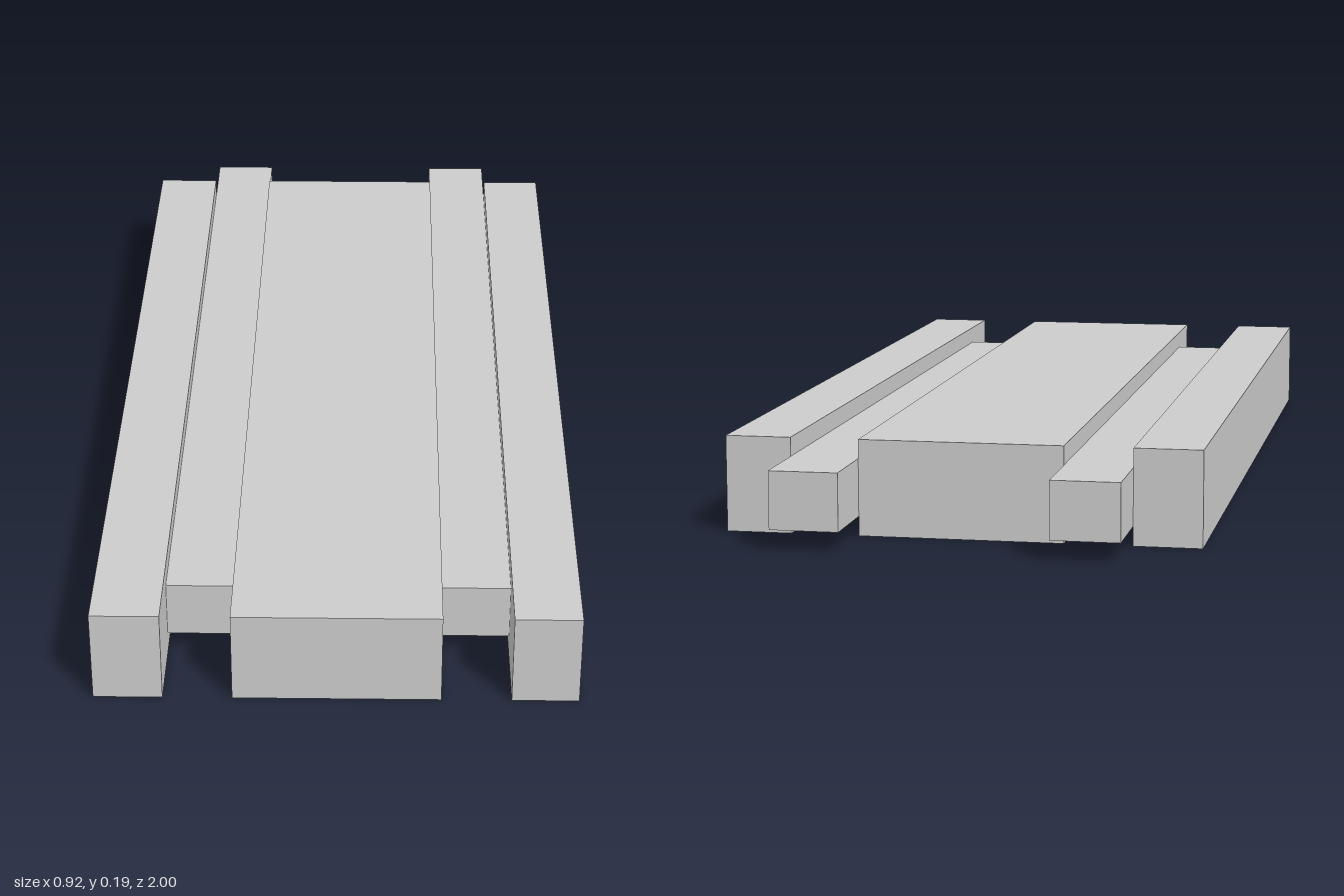
import * as THREE from 'three';

export function createModel() {
  const group = new THREE.Group();
  group.name = 'slottedPlank';
  const material = new THREE.MeshStandardMaterial({ color: 0xcccccc, flatShading: true });

  // Box given by its extents on each axis
  function bar(name, [x0, x1], [y0, y1], [z0, z1]) {
    const mesh = new THREE.Mesh(new THREE.BoxGeometry(x1 - x0, y1 - y0, z1 - z0), material);
    mesh.position.set((x0 + x1) / 2, (y0 + y1) / 2, (z0 + z1) / 2);
    mesh.name = name;
    group.add(mesh);
  }

  const fullHeight = [0, 0.187];
  const tongueHeight = [0.038, 0.15];
  const bodyLength = [-0.846, 1];
  const tongueLength = [-1, 0.846]; // shifted back: tongues behind, sockets in front

  // Full-height boards
  bar('centreBoard', [-0.197, 0.2], fullHeight, bodyLength);
  bar('rightRail', [-0.461, -0.329], fullHeight, bodyLength);
  bar('leftRail', [0.333, 0.461], fullHeight, bodyLength);

  // Thinner connecting tongues between the boards
  bar('rightTongue', [-0.329, -0.197], tongueHeight, tongueLength);
  bar('leftTongue', [0.2, 0.333], tongueHeight, tongueLength);

  return group;
}
